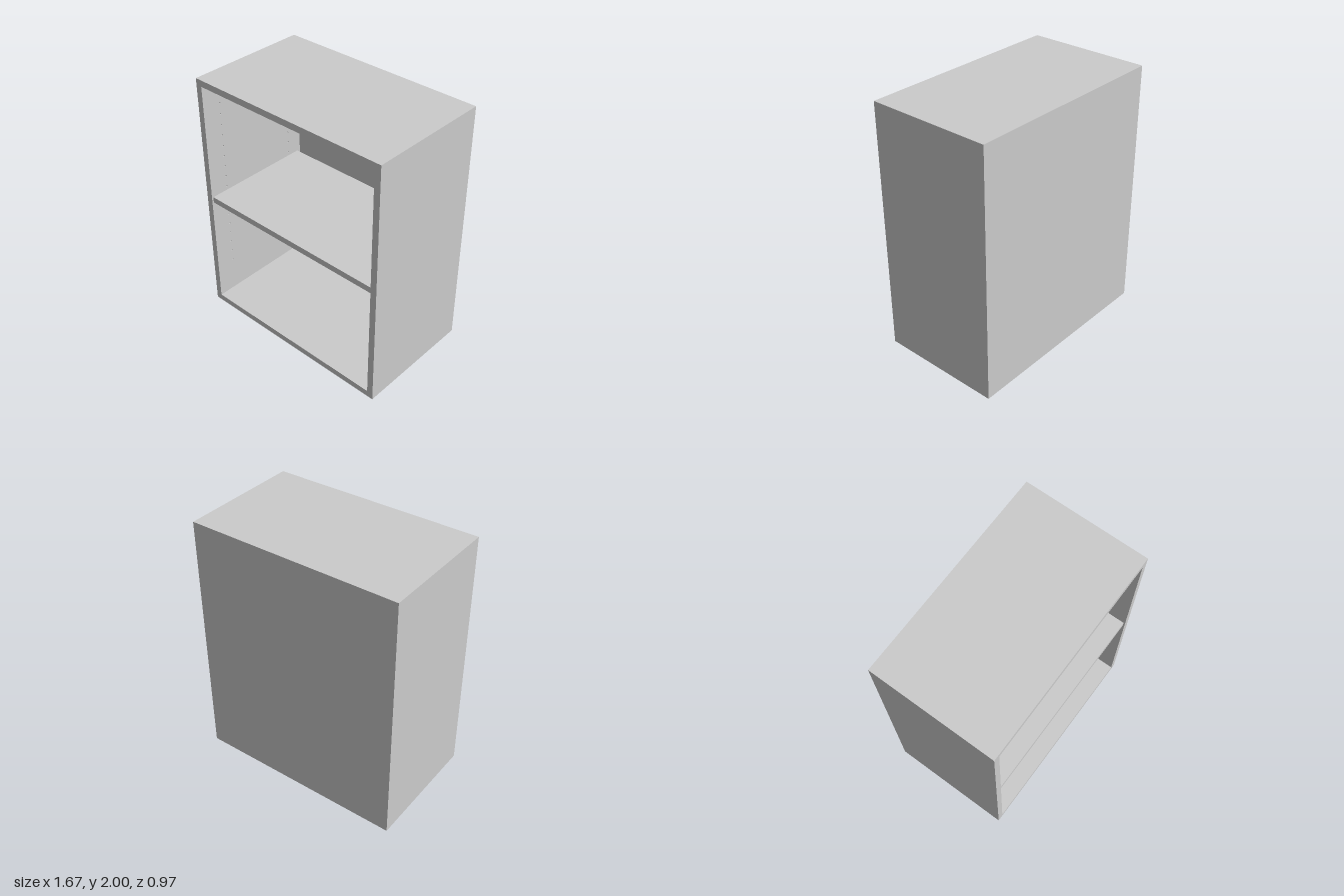
import * as THREE from 'three';

const W = 1.667, H = 2, D = 0.972, T = 0.05; // outer size and board thickness
const INNER = W / 2 - T;                     // inner face of the sides
const HOLE_Z = 0.335, HOLE_R = 0.007, HOLE_STEP = 0.089, HOLE_Y0 = 0.338, HOLE_DEPTH = 0.036;

export function createModel() {
  const group = new THREE.Group();
  group.name = 'cabinet';
  const mat = new THREE.MeshStandardMaterial({ color: 0xcccccc });

  const add = (name, geometry, x, y, z, parent = group) => {
    const mesh = new THREE.Mesh(geometry, mat);
    mesh.name = name;
    mesh.position.set(x, y, z);
    parent.add(mesh);
    return mesh;
  };
  const board = (name, w, h, d, x, y, z, parent) =>
    add(name, new THREE.BoxGeometry(w, h, d), x, y, z, parent);

  // top, bottom and thin back, fitted between the sides
  board('topPanel', 2 * INNER, T, D, 0, H - T / 2, 0);
  board('bottomPanel', 2 * INNER, T, D, 0, T / 2, 0);
  board('backPanel', 2 * INNER, H - 2 * T, 0.018, 0, H / 2, -D / 2 + 0.009);

  // adjustable shelf, with a small gap to the sides and back
  const shelfBottom = 0.968;
  board('shelf', 2 * (INNER - 0.003), T - 0.002, 0.91, 0, shelfBottom + T / 2 - 0.001, 0.02);

  // inner layer of a side, drilled with two columns of pin holes
  const face = new THREE.Shape();
  face.moveTo(-D / 2, 0).lineTo(D / 2, 0).lineTo(D / 2, H).lineTo(-D / 2, H).closePath();
  for (const z of [-HOLE_Z, HOLE_Z]) {
    for (let i = 0; i < 17; i++) {
      const hole = new THREE.Path();
      hole.absarc(z, HOLE_Y0 + i * HOLE_STEP, HOLE_R, 0, Math.PI * 2, true);
      face.holes.push(hole);
    }
  }
  const drilled = new THREE.ExtrudeGeometry(face, { depth: HOLE_DEPTH, bevelEnabled: false, curveSegments: 8 });
  drilled.rotateY(Math.PI / 2);

  // stepped bracket that carries the shelf, profile measured from the side wall
  const profile = new THREE.Shape();
  profile.moveTo(0, -0.017).lineTo(0.018, -0.017).lineTo(0.022, -0.010)
    .lineTo(0.04, -0.006).lineTo(0.04, 0).lineTo(0, 0).closePath();
  const bracket = new THREE.ExtrudeGeometry(profile, { depth: 0.03, bevelEnabled: false });
  bracket.translate(0, 0, -0.015);
  const peg = new THREE.CylinderGeometry(HOLE_R * 0.95, HOLE_R * 0.95, HOLE_DEPTH, 12).rotateZ(Math.PI / 2);

  for (const [name, s] of [['left', 1], ['right', -1]]) {
    const side = new THREE.Group();
    side.name = name + 'Side';
    group.add(side);
    add('drilledLayer', drilled, s > 0 ? INNER : -INNER - HOLE_DEPTH, 0, 0, side);
    const skin = T - HOLE_DEPTH;
    board('outerLayer', skin, H, D, s * (W / 2 - skin / 2), H / 2, 0, side);

    for (const z of [-HOLE_Z, HOLE_Z]) {
      const support = new THREE.Group();
      support.name = name + 'ShelfSupport';
      support.position.set(s * INNER, shelfBottom, z);
      support.rotation.y = s > 0 ? Math.PI : 0;
      group.add(support);
      add('bracket', bracket, 0, 0, 0, support);
      add('peg', peg, -HOLE_DEPTH / 2, HOLE_Y0 + 7 * HOLE_STEP - shelfBottom, 0, support);
    }
  }
  return group;
}
